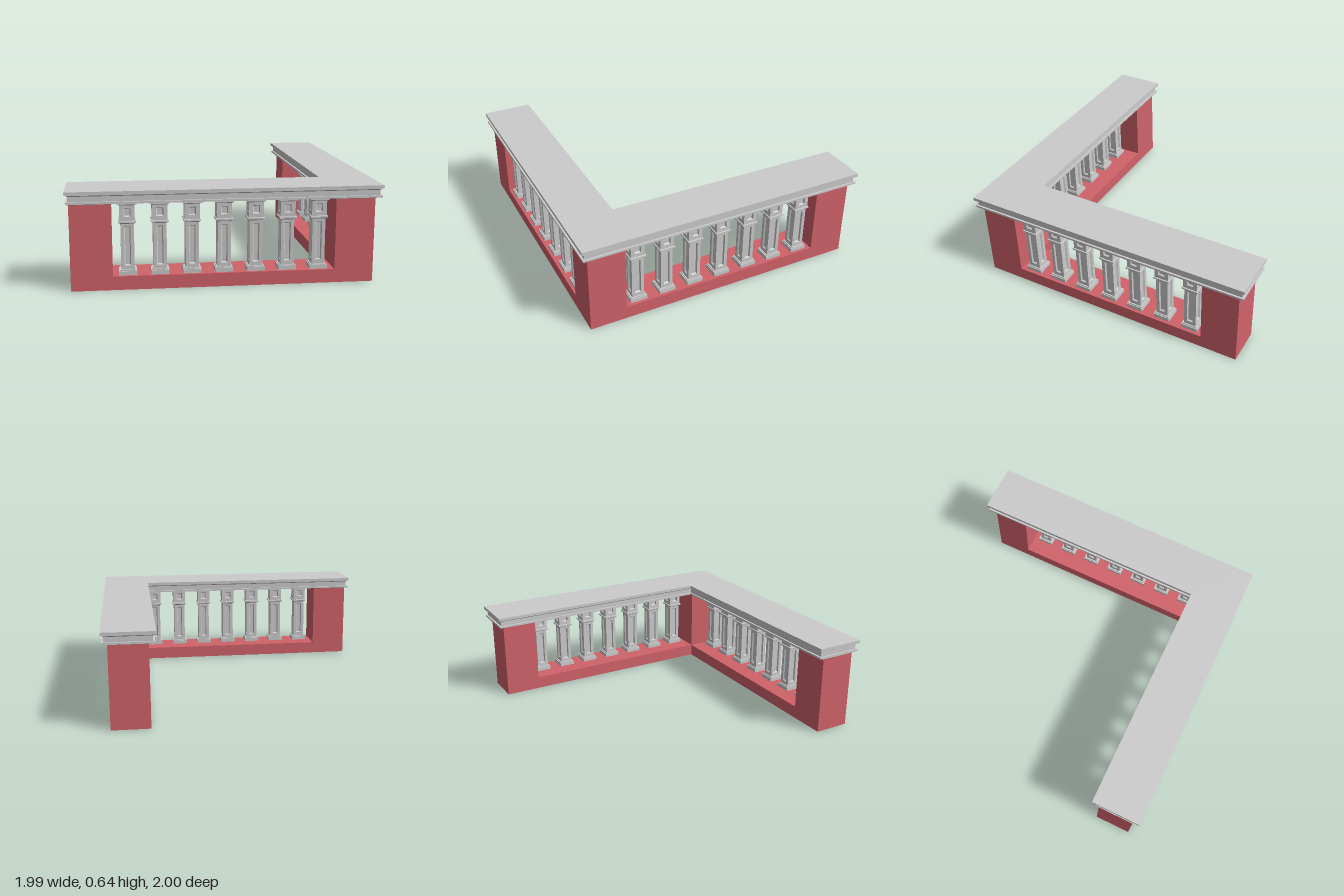
import * as THREE from 'three';
import { mergeGeometries } from 'three/addons/utils/BufferGeometryUtils.js';

const stone = new THREE.MeshStandardMaterial({ color: 0xcccccc, flatShading: true });
const brick = new THREE.MeshStandardMaterial({ color: 0xd1626a, flatShading: true, side: THREE.DoubleSide });

// Wall planes
const OUT_X = 0.953, IN_X = 0.7, END_X = -0.975, OPEN_X = -0.715;
const OUT_Z = 0.955, IN_Z = 0.705, END_Z = -0.955, OPEN_Z = -0.705;
const BASE = 0.088, WALL = 0.556;

function geometryFrom(positions) {
  const g = new THREE.BufferGeometry();
  g.setAttribute('position', new THREE.Float32BufferAttribute(positions, 3));
  g.computeVertexNormals();
  return g;
}

// Skin a stack of matching counter-clockwise outlines [[points, level], ...] along +z
function loft(rings, bottomCap = true) {
  const pos = [];
  const put = (ring, i) => pos.push(ring[0][i][0], ring[0][i][1], ring[1]);
  const n = rings[0][0].length;
  for (let r = 0; r < rings.length - 1; r++) {
    const lo = rings[r], hi = rings[r + 1];
    for (let i = 0; i < n; i++) {
      const j = (i + 1) % n;
      put(lo, i); put(lo, j); put(hi, j);
      put(lo, i); put(hi, j); put(hi, i);
    }
  }
  const cap = (ring, flip) => {
    const pts = ring[0].map(([x, y]) => new THREE.Vector2(x, y));
    for (const t of THREE.ShapeUtils.triangulateShape(pts, [])) {
      (flip ? [t[0], t[2], t[1]] : t).forEach((i) => put(ring, i));
    }
  };
  cap(rings[rings.length - 1], false);
  if (bottomCap) cap(rings[0], true);
  return geometryFrom(pos);
}

const rect = (x0, y0, x1, y1) => [[x0, y0], [x1, y0], [x1, y1], [x0, y1]];
const square = (h) => rect(-h, -h, h, h);
const upright = (g) => g.rotateX(-Math.PI / 2);

// L-shaped plan of the handrail, shrunk by d on every side
function railPlan(d) {
  const x0 = -0.997 + d, x1 = 0.994 - d, e = 1 - d, xi = 0.655 + d, zi = 0.657 + d;
  return [[x0, -e], [x1, -e], [x1, e], [xi, e], [xi, -zi], [x0, -zi]];
}

// Four sides of a square block, each with a sunk bevelled panel
function panelledSides(half, y0, y1, panelHalf, p0, p1) {
  const bevel = 0.006, depth = 0.01;
  const parts = [];
  for (let k = 0; k < 4; k++) {
    const side = loft([
      [rect(-half, y0, half, y1), half],
      [rect(-panelHalf, p0, panelHalf, p1), half],
      [rect(-panelHalf + bevel, p0 + bevel, panelHalf - bevel, p1 - bevel), half - depth],
    ], false);
    parts.push(side.rotateY(k * Math.PI / 2));
  }
  return parts;
}

function balusterGeometry() {
  const stack = (rows) => upright(loft(rows.map(([h, y]) => [square(h), y])));
  return mergeGeometries([
    // stepped foot
    stack([[0.057, 0.084], [0.057, 0.114], [0.051, 0.114], [0.051, 0.121], [0.042, 0.121]]),
    // shaft
    ...panelledSides(0.042, 0.12, 0.42, 0.02, 0.147, 0.398),
    // neck moulding
    stack([[0.042, 0.416], [0.049, 0.422], [0.055, 0.424], [0.055, 0.434], [0.048, 0.436]]),
    // head block
    ...panelledSides(0.048, 0.435, 0.538, 0.022, 0.462, 0.515),
    // top slab
    stack([[0.048, 0.534], [0.053, 0.539], [0.061, 0.541], [0.061, 0.561]]),
  ]);
}

// Hollow wall arm, open underneath: end post, low base and half of the corner post.
// Built along x; swap exchanges x and z for the other arm.
function wallArm(end, open, jamb, corner, inner, outer, swap) {
  const path = [[end, 0], [end, WALL], [open, WALL], [open, BASE], [jamb, BASE], [jamb, WALL], [corner, WALL]];
  const ribbon = swap ? path.slice(0, -1) : path;
  const pos = [];
  for (let i = 0; i < ribbon.length - 1; i++) {
    const [a, b] = [ribbon[i], ribbon[i + 1]];
    pos.push(...a, inner, ...a, outer, ...b, outer, ...a, inner, ...b, outer, ...b, inner);
  }
  const face = (pts, z) => {
    const shape = new THREE.Shape(pts.map(([x, y]) => new THREE.Vector2(x, y)));
    const g = new THREE.ShapeGeometry(shape).toNonIndexed().translate(0, 0, z);
    pos.push(...g.attributes.position.array);
  };
  face([...path, [corner, 0]], outer);
  face([...path.slice(0, 5), [jamb, 0]], inner);
  if (swap) {
    for (let i = 0; i < pos.length; i += 3) [pos[i], pos[i + 2]] = [pos[i + 2], pos[i]];
  }
  return geometryFrom(pos);
}

export function createModel() {
  const model = new THREE.Group();
  model.name = 'cornerBalustrade';
  const add = (name, geometry, material) => {
    const mesh = new THREE.Mesh(geometry, material);
    mesh.name = name;
    model.add(mesh);
    return mesh;
  };

  // Wall arms
  add('frontWall', wallArm(END_X, OPEN_X, IN_X, OUT_X, IN_Z, OUT_Z, false), brick);
  add('sideWall', wallArm(END_Z, OPEN_Z, IN_Z, OUT_Z, IN_X, OUT_X, true), brick);

  // Moulded handrail with a flat underside
  const railRows = [
    [0.007, 0.559], [0.007, 0.572], [0.02, 0.572], [0.02, 0.606],
    [0.01, 0.613], [0.01, 0.617], [0, 0.617], [0, 0.638],
  ];
  add('handrail', upright(loft(railRows.map(([d, y]) => [railPlan(d), y]))), stone);

  // Flared mouldings where the posts meet the rail
  const posts = {
    frontEndPostCap: [END_X, IN_Z, OPEN_X, OUT_Z],
    cornerPostCap: [IN_X, IN_Z, OUT_X, OUT_Z],
    sideEndPostCap: [IN_X, END_Z, OUT_X, OPEN_Z],
  };
  for (const [name, [x0, z0, x1, z1]] of Object.entries(posts)) {
    const ring = (o, y) => [rect(x0 - o, -z1 - o, x1 + o, -z0 + o), y];
    add(name, upright(loft([ring(0.002, 0.549), ring(0.02, 0.56)])), stone);
  }

  // Seven balusters in each arm, set towards the outer face
  const baluster = balusterGeometry();
  for (let i = -3; i <= 3; i++) {
    add('frontBaluster', baluster, stone).position.set(-0.01 + i * 0.203, 0, 0.879);
    add('sideBaluster', baluster, stone).position.set(0.875, 0, i * 0.203);
  }
  return model;
}
